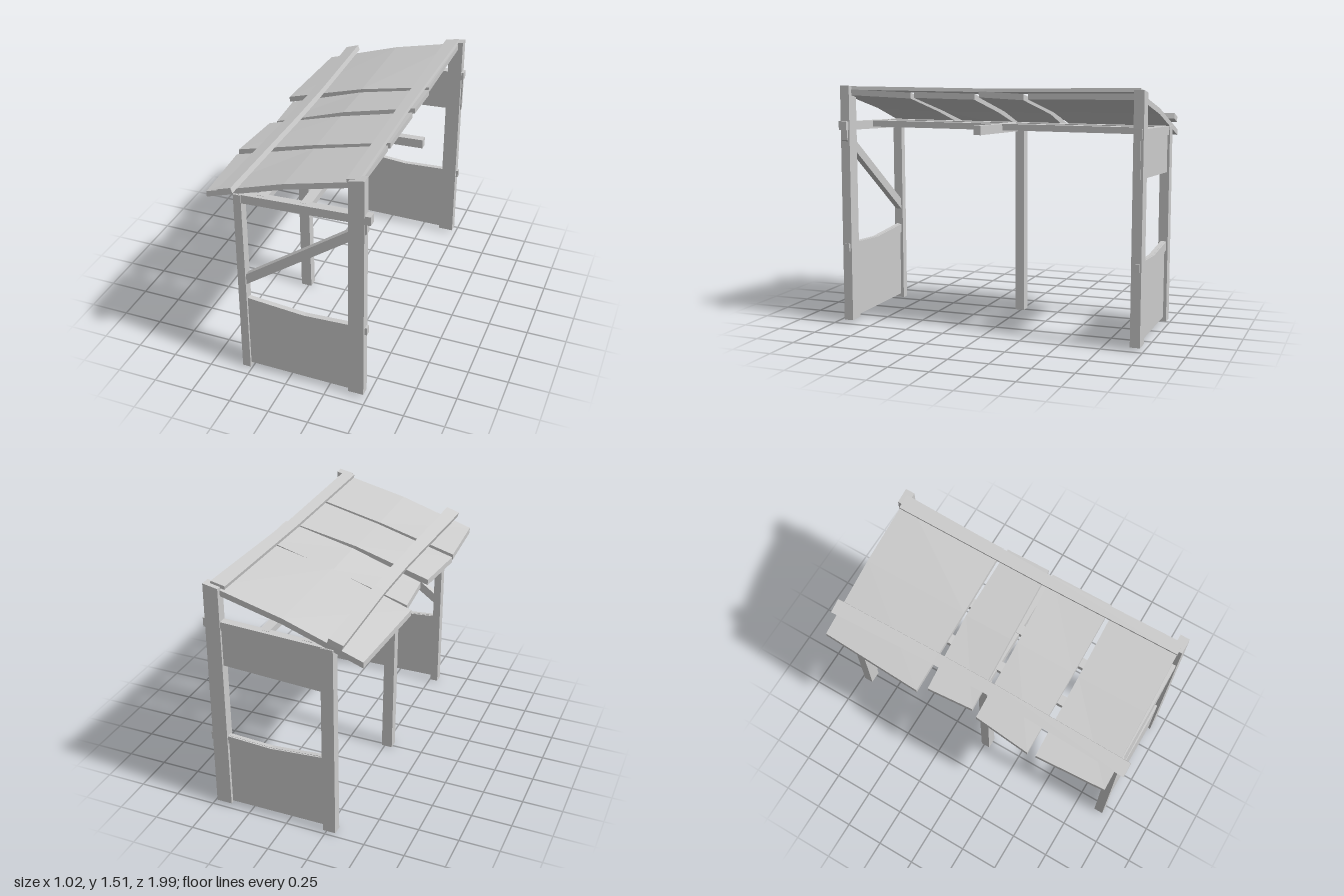
import * as THREE from 'three';

const timber = new THREE.MeshStandardMaterial({ color: 0xcccccc });
timber.name = 'plain grey timber';

function add(group, name, geometry) {
  const g = geometry.index ? geometry.toNonIndexed() : geometry;
  g.computeVertexNormals();
  const mesh = new THREE.Mesh(g, timber);
  mesh.name = name;
  group.add(mesh);
  return mesh;
}

// Flat board cut from an outline in the xy plane, between two depths
function board(group, name, points, z0, z1) {
  const shape = new THREE.Shape(points.map(([x, y]) => new THREE.Vector2(x, y)));
  const g = new THREE.ExtrudeGeometry(shape, { depth: z1 - z0, bevelEnabled: false });
  g.translate(0, 0, z0);
  return add(group, name, g);
}

// Slightly crooked post: bottom and top [x0, x1, z0, z1]
function post(group, name, y0, y1, bottom, top, topTilt = 0) {
  const g = new THREE.BoxGeometry(1, 1, 1);
  const p = g.attributes.position;
  for (let i = 0; i < p.count; i++) {
    const up = p.getY(i) > 0;
    const right = p.getX(i) > 0;
    const e = up ? top : bottom;
    const z = p.getZ(i) > 0 ? e[3] : e[2];
    p.setXYZ(i, e[right ? 1 : 0], up ? y1 + (right ? topTilt : 0) : y0, z);
  }
  return add(group, name, g);
}

// Bowed roof slab: plan corners per side, roof line bent once at the middle
function roofSlab(group, name, s) {
  const g = new THREE.BoxGeometry(2, 1, 1, 2, 1, 1);
  const p = g.attributes.position;
  for (let i = 0; i < p.count; i++) {
    const k = Math.round(p.getX(i)) + 1;
    const front = p.getZ(i) > 0;
    const x = [front ? s.lowX[1] : s.lowX[0], 0, s.highX][k];
    const z = (front ? s.frontZ : s.backZ)[k];
    const y = s.top[k] + (front ? s.frontLift[k] : 0) - (p.getY(i) > 0 ? 0 : 0.036);
    p.setXYZ(i, x, y, z);
  }
  return add(group, name, g);
}

// Long batten along z that follows [z, x, y, width] stations, tilted with the roof
function batten(group, name, stations, thick, tilt) {
  const n = stations.length - 1;
  const g = new THREE.BoxGeometry(1, 1, n, 1, 1, n);
  const p = g.attributes.position;
  for (let i = 0; i < p.count; i++) {
    const [z, x, y, w] = stations[Math.round(p.getZ(i) + n / 2)];
    const a = p.getX(i) * w, b = p.getY(i) * thick;
    p.setXYZ(i, x + a * Math.cos(tilt) - b * Math.sin(tilt),
      y + a * Math.sin(tilt) + b * Math.cos(tilt), z);
  }
  return add(group, name, g);
}

// Tall post, short post, cross beam, lower wall and its rail for one end
function endFrame(name, z0, z1, shortEdge, beamEnd) {
  const group = new THREE.Group();
  group.name = name;
  post(group, 'tallPost', 0.02, 1.485, [0.38, 0.478, z0, z1], [0.38, 0.472, z0, z1], 0.018);
  post(group, 'shortPost', 0.008, 1.25, [-0.31, shortEdge, z0, z1], [-0.305, shortEdge, z0, z1]);
  board(group, 'crossBeam',
    [[-0.3, 1.195], [0.38, 1.225], [beamEnd, 1.23], [beamEnd, 1.285], [0.38, 1.278], [-0.3, 1.25]],
    z0 + 0.005, z1 - 0.005);
  const mid = (z0 + z1) / 2;
  board(group, 'lowerWall',
    [[-0.28, 0.035], [0.4, 0.03], [0.4, 0.512], [0.1, 0.498], [-0.05, 0.51], [-0.28, 0.53]],
    mid - 0.01, mid + 0.015);
  board(group, 'wallRail',
    [[-0.28, 0.47], [0.1, 0.445], [0.49, 0.465], [0.49, 0.515], [0.1, 0.496], [-0.28, 0.527]],
    mid - 0.02, mid + 0.012);
  return group;
}

export function createModel() {
  const model = new THREE.Group();
  model.name = 'shelter';

  // End frames
  const front = endFrame('frontFrame', 0.88, 0.94, -0.258, 0.508);
  board(front, 'diagonalBrace',
    [[-0.28, 0.617], [0.485, 1.167], [0.485, 1.237], [-0.28, 0.687]], 0.89, 0.93);
  const back = endFrame('backFrame', -0.98, -0.92, -0.23, 0.488);
  board(back, 'upperWall',
    [[-0.25, 0.963], [0.482, 0.998], [0.482, 1.25], [-0.25, 1.22]], -0.965, -0.945);
  model.add(front, back);

  // Middle post with its beam
  post(model, 'middlePost', 0, 1.24, [-0.3, -0.23, -0.02, 0.04], [-0.305, -0.24, -0.015, 0.045]);
  board(model, 'middleBeam',
    [[-0.3, 1.195], [0.508, 1.225], [0.508, 1.28], [-0.3, 1.25]], -0.01, 0.035);

  // Purlins running the length of the roof
  for (const [x, y] of [[-0.14, 1.238], [0.12, 1.248]]) {
    board(model, 'purlin',
      [[x - 0.03, y - 0.02], [x + 0.03, y - 0.02], [x + 0.03, y + 0.02], [x - 0.03, y + 0.02]],
      -0.95, 0.91);
  }

  // Four warped roof slabs
  const slabs = [
    { lowX: [-0.48, -0.51], highX: 0.44, backZ: [-0.975, -0.965, -0.955], frontZ: [-0.315, -0.29, -0.28],
      top: [1.215, 1.375, 1.482], frontLift: [0, 0, -0.01] },
    { lowX: [-0.465, -0.445], highX: 0.45, backZ: [-0.265, -0.275, -0.255], frontZ: [0.03, 0.03, 0.025],
      top: [1.212, 1.36, 1.468], frontLift: [0.01, 0.01, 0.012] },
    { lowX: [-0.475, -0.51], highX: 0.445, backZ: [0.075, 0.075, 0.055], frontZ: [0.44, 0.45, 0.45],
      top: [1.225, 1.365, 1.465], frontLift: [0, 0, 0.005] },
    { lowX: [-0.5, -0.475], highX: 0.44, backZ: [0.49, 0.485, 0.475], frontZ: [0.93, 0.925, 0.915],
      top: [1.22, 1.36, 1.465], frontLift: [0.005, 0.015, 0.015] },
  ];
  slabs.forEach((s) => roofSlab(model, 'roofSlab', s));

  // Battens holding the slabs down
  batten(model, 'lowBatten',
    [[-0.995, -0.325, 1.3, 0.09], [-0.3, -0.305, 1.295, 0.075], [0.1, -0.305, 1.295, 0.075], [0.99, -0.328, 1.292, 0.09]],
    0.034, 0.32);
  batten(model, 'ridgeBatten',
    [[-0.95, 0.395, 1.492, 0.09], [0, 0.388, 1.478, 0.07], [0.92, 0.4, 1.48, 0.075]],
    0.022, 0.2);

  return model;
}
